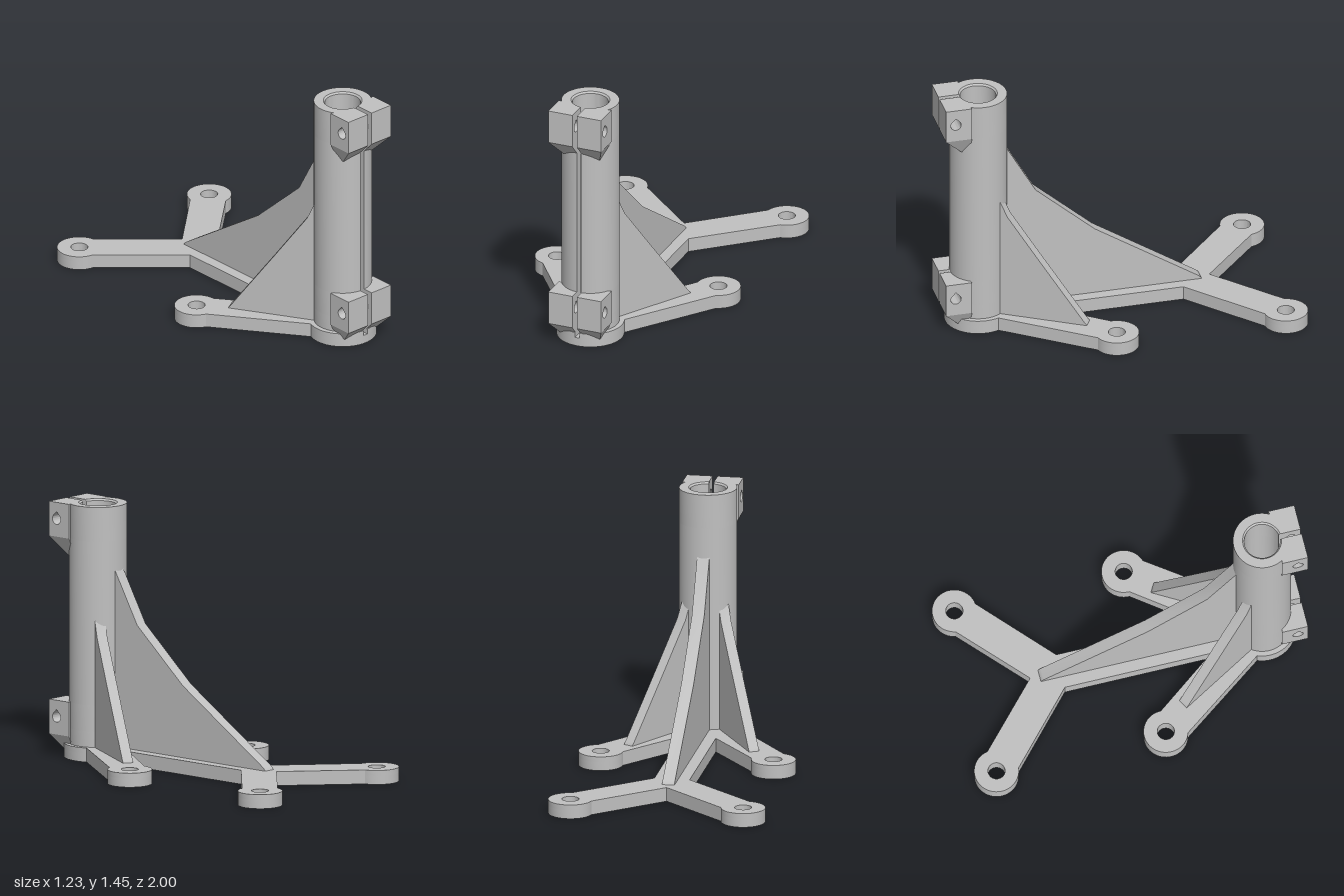
import * as THREE from 'three';
import { toCreasedNormals } from 'three/addons/utils/BufferGeometryUtils.js';

const AXIS_Z = 0.775;   // tube axis
const BORE = 0.1, TUBE_R = 0.1625, DISC_R = 0.19, SLOT = 0.014;
const BASE_H = 0.08, FLOOR = 0.05;
const PAD_X = 0.49, PAD_R = 0.125, PADS_Z = [0.1, -0.875];

export function createModel() {
  const group = new THREE.Group();
  group.name = 'clampStand';
  const grey = new THREE.MeshStandardMaterial({ color: 0xc0c0c0 });
  grey.name = 'grey';

  function add(name, geometry) {
    const mesh = new THREE.Mesh(toCreasedNormals(geometry, 0.5), grey);
    mesh.name = name;
    group.add(mesh);
    return mesh;
  }

  // Plan points are (x, -z); angles in degrees
  function arc(cx, cy, r, from, to, n) {
    return Array.from({ length: n + 1 }, (_, i) => {
      const a = THREE.MathUtils.degToRad(from + (to - from) * i / n);
      return new THREE.Vector2(cx + r * Math.cos(a), cy + r * Math.sin(a));
    });
  }
  const slotAngle = r => THREE.MathUtils.radToDeg(Math.asin(SLOT / r));
  const boreArc = () => arc(0, -AXIS_Z, BORE, 270 - slotAngle(BORE), -90 + slotAngle(BORE), 64);

  // Extrude a plan shape from y0 up to y1
  function plate(shape, y0, y1) {
    const g = new THREE.ExtrudeGeometry(shape, { depth: y1 - y0, bevelEnabled: false, curveSegments: 32 });
    return g.rotateX(-Math.PI / 2).translate(0, y0, 0);
  }

  // Apply a rule to every vertex
  function bend(g, rule) {
    const p = g.attributes.position, v = new THREE.Vector3();
    for (let i = 0; i < p.count; i++) {
      v.fromBufferAttribute(p, i);
      rule(v);
      p.setXYZ(i, v.x, v.y, v.z);
    }
    return g;
  }

  // Base outline: right half, then its mirror image
  function baseShape(slotted) {
    const right = [
      ...arc(0, -AXIS_Z, DISC_R, -90 + slotAngle(DISC_R), 22.2, 24),
      ...arc(PAD_X, -PADS_Z[0], PAD_R, -72.9, 180.9, 36),
      new THREE.Vector2(0.1, -0.455),
      new THREE.Vector2(0.1, 0.385),
      ...arc(PAD_X, -PADS_Z[1], PAD_R, -84.3, 169.5, 36),
    ];
    const left = right.map(p => new THREE.Vector2(-p.x, p.y)).reverse();
    const shape = new THREE.Shape([
      ...right, new THREE.Vector2(0, 0.56), ...left, ...(slotted ? boreArc() : []),
    ]);
    for (const z of PADS_Z) for (const s of [-1, 1]) {
      shape.holes.push(new THREE.Path().absarc(s * PAD_X, -z, 0.048, 0, Math.PI * 2, true));
    }
    return shape;
  }
  add('baseFloor', plate(baseShape(false), 0, FLOOR));
  add('baseTop', plate(baseShape(true), FLOOR, BASE_H));

  // Slotted tube; the wall is cut back where the clamp bolts pass
  function tubeSection(y0, y1, cutBack, chamfer) {
    const points = [
      ...arc(0, -AXIS_Z, TUBE_R, -90 + slotAngle(TUBE_R), 270 - slotAngle(TUBE_R), 72),
      ...boreArc(),
    ];
    if (cutBack) points.forEach(p => { p.y = Math.max(p.y, -0.9); });
    const g = plate(new THREE.Shape(points), y0, y1);
    if (chamfer) bend(g, v => {
      const dz = v.z - AXIS_Z;
      if (v.y > y1 - 0.001 && Math.hypot(v.x, dz) < BORE + 0.001) {
        v.x *= 1.09;
        v.z = AXIS_Z + dz * 1.09;
      }
    });
    add('tube', g);
  }
  tubeSection(BASE_H, 0.17, false);
  tubeSection(0.17, 0.32, true);
  tubeSection(0.32, 1.25, false);
  tubeSection(1.25, 1.435, true);
  tubeSection(1.435, 1.445, true, true);

  // Clamp jaws: drilled block over a tapered wedge, on each side of the slot
  function jaw(top, side) {
    const low = top - 0.195, bottom = top - 0.3;
    const a = z => -side * z;
    const profile = list => new THREE.Shape(list.map(([z, y]) => new THREE.Vector2(a(z), y)));
    const extrude = shape => {
      const g = new THREE.ExtrudeGeometry(shape, { depth: 0.16 - SLOT, bevelEnabled: false, curveSegments: 20 });
      g.translate(0, 0, SLOT).rotateY(side * Math.PI / 2);
      return bend(g, v => {
        // keep the back of the jaw inside the tube wall
        if (Math.abs(v.x) < 0.02 && v.z < 0.86) v.z = 0.89;
        // narrow the wedge toward its foot
        if (Math.abs(v.x) > 0.1 && v.y < low - 0.05) v.x = side * 0.11;
      });
    };
    const block = profile([[1, top], [1, low], [0.85, low], [0.85, top]]);
    const hole = new THREE.Path();
    const hy = top - 0.095;
    hole.absarc(a(0.943), hy, 0.03, Math.PI * 0.75, Math.PI * 2.25, false);
    hole.lineTo(a(0.943), hy + 0.0424);
    block.holes.push(hole);
    add('clampBlock', extrude(block));
    add('clampWedge', extrude(profile([[1, low], [0.9, bottom], [0.85, bottom], [0.85, low]])));
  }
  for (const top of [0.32, 1.445]) for (const side of [-1, 1]) jaw(top, side);

  // Gusset ribs: profile of (distance out, height), standing on the base
  function rib(name, profile, thickness, x, z, angle) {
    const shape = new THREE.Shape(profile.map(([u, y]) => new THREE.Vector2(u, y)));
    const g = new THREE.ExtrudeGeometry(shape, { depth: thickness, bevelEnabled: false });
    g.translate(0, 0, -thickness / 2).rotateY(THREE.MathUtils.degToRad(angle)).translate(x, 0, z);
    add(name, g);
  }
  rib('backRib', [
    [0, 0.07], [1.16, 0.07], [1.155, 0.085], [1.14, 0.1], [0.54, 0.49], [0.2, 0.79], [0.035, 1.08], [0, 1.14],
  ], 0.07, 0, 0.65, 90);
  const sideProfile = [
    [0, 0.07], [0.537, 0.07], [0.533, 0.085], [0.52, 0.1], [0.27, 0.44], [0.074, 0.71], [0.01, 0.85], [0, 0.87],
  ];
  rib('leftRib', sideProfile, 0.06, 0.09, 0.694, 60);
  rib('rightRib', sideProfile, 0.06, -0.09, 0.694, 120);

  return group;
}
